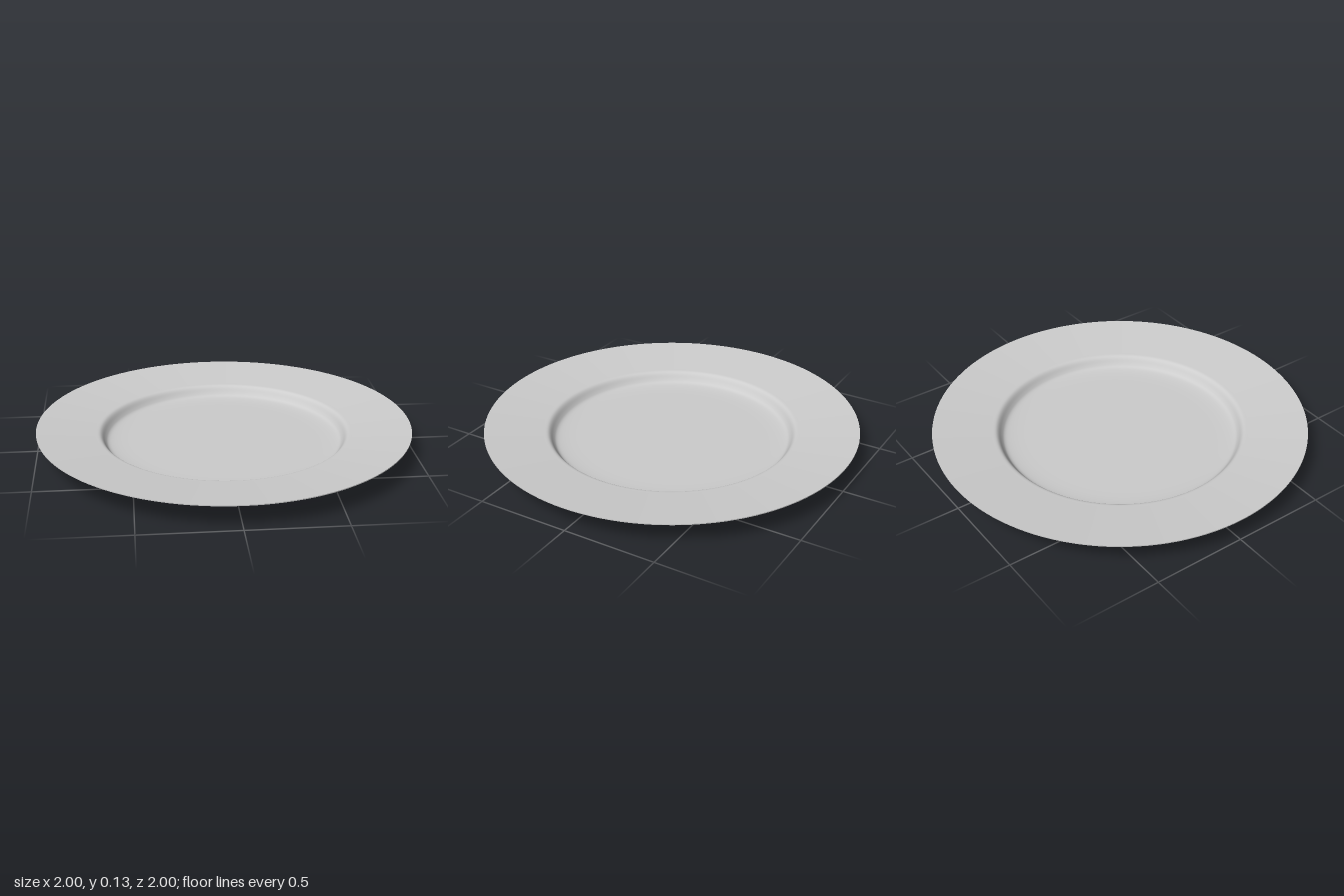
import * as THREE from 'three';
import { toCreasedNormals } from 'three/addons/utils/BufferGeometryUtils.js';

const SEGMENTS = 128;
const porcelain = new THREE.MeshStandardMaterial({ color: 0xcccccc });
porcelain.name = 'porcelain grey';

const toPoints = (list) => list.map(([r, y]) => new THREE.Vector2(r, y));

function addPart(group, name, geometry) {
  const mesh = new THREE.Mesh(geometry, porcelain);
  mesh.name = name;
  group.add(mesh);
}

export function createModel() {
  const plate = new THREE.Group();
  plate.name = 'plate';

  // Underside: recessed base, foot ring, sloping wall, flared rim and thin edge
  const under = toPoints([
    [0, 0.022], [0.583, 0.022], [0.59, 0], [0.622, 0],
    [0.682, 0.075], [1, 0.125], [1, 0.13],
  ]);
  addPart(plate, 'underside', toCreasedNormals(new THREE.LatheGeometry(under, SEGMENTS), 0.4));

  // Top: gently sloped rim, rounded lip and wall, then a shallow dished floor
  const well = new THREE.SplineCurve(toPoints([
    [0.69, 0.1], [0.668, 0.097], [0.653, 0.086], [0.637, 0.062],
    [0.622, 0.047], [0.595, 0.04], [0.54, 0.036], [0.46, 0.035],
  ])).getPoints(28);
  const top = [...toPoints([[1, 0.13], [0.85, 0.1155]]), ...well, ...toPoints([[0, 0.035]])];
  addPart(plate, 'topFace', new THREE.LatheGeometry(top, SEGMENTS));

  return plate;
}
